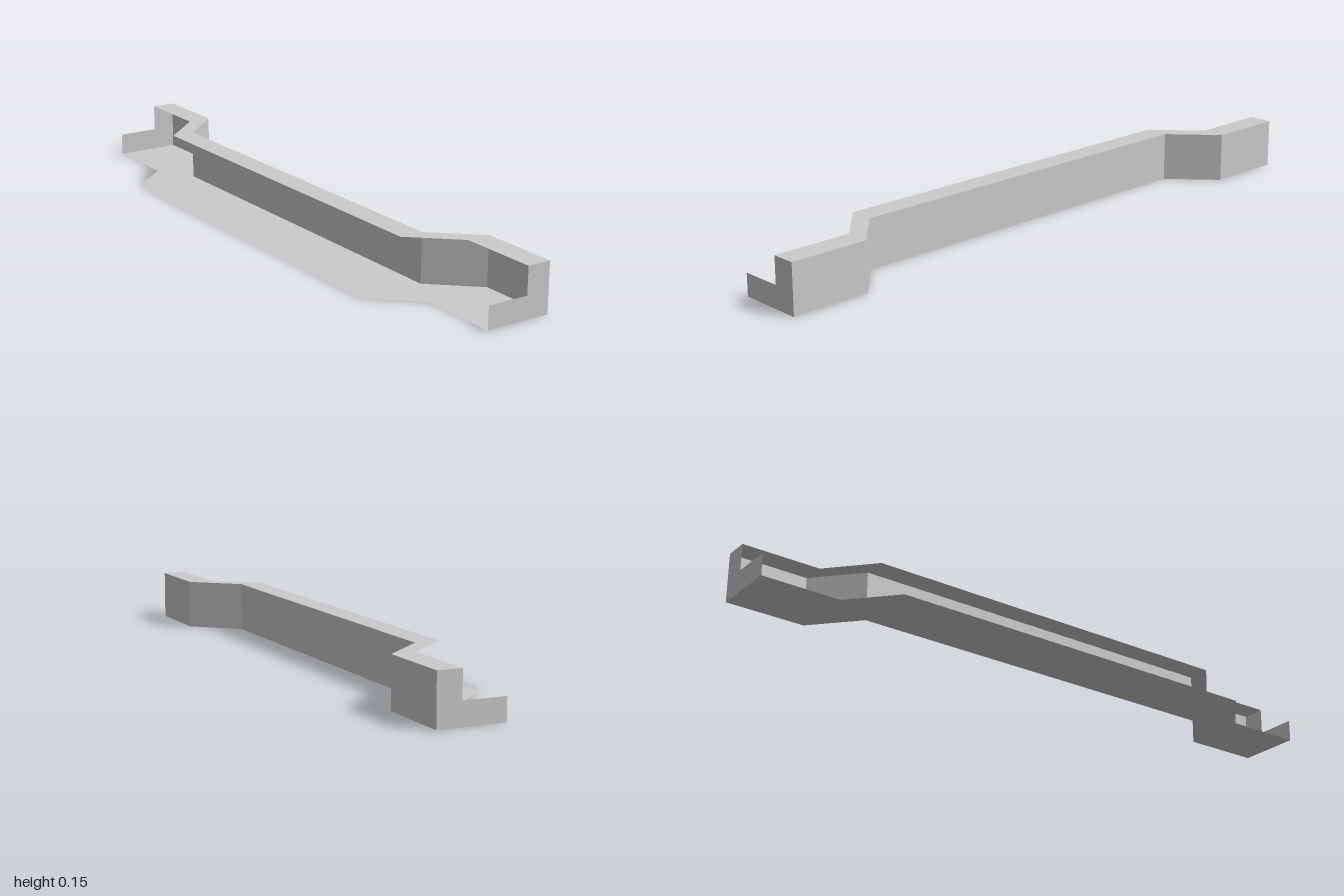
import * as THREE from 'three';

const material = new THREE.MeshStandardMaterial({
  color: 0xcccccc, flatShading: true, side: THREE.DoubleSide,
});

// Plan of the rail: [z, sideways shift], jogging over between its ends and middle
const path = [[-1, 0], [-0.75, 0], [-0.625, -0.138], [0.625, -0.138], [0.75, 0], [1, 0]];

// Open strip swept along the path between two profile points [x, y]
function strip(name, a, b) {
  const positions = [];
  const at = ([x, y], [z, shift]) => [x + shift, y, z];
  for (let i = 0; i < path.length - 1; i++) {
    const a0 = at(a, path[i]), a1 = at(a, path[i + 1]);
    const b0 = at(b, path[i]), b1 = at(b, path[i + 1]);
    positions.push(...a0, ...a1, ...b1, ...a0, ...b1, ...b0);
  }
  const geometry = new THREE.BufferGeometry();
  geometry.setAttribute('position', new THREE.Float32BufferAttribute(positions, 3));
  geometry.computeVertexNormals();
  const mesh = new THREE.Mesh(geometry, material);
  mesh.name = name;
  return mesh;
}

export function createModel() {
  const group = new THREE.Group();
  group.name = 'joggedRail';

  const innerTop = [0.097, 0.154], outerTop = [0.172, 0.154];
  const outerBottom = [0.172, 0], ledgeBottom = [-0.035, 0];

  // Open shell: the side towards -x has no faces
  group.add(
    strip('topEdge', innerTop, outerTop),
    strip('outerWall', outerTop, outerBottom),
    strip('floor', outerBottom, ledgeBottom),
  );

  // L-shaped plates closing both ends
  const corners = [ledgeBottom, outerBottom, outerTop, innerTop, [0.097, 0.07], [-0.035, 0.07]];
  const outline = new THREE.Shape(corners.map(([x, y]) => new THREE.Vector2(x, y)));
  for (const [name, z] of [['frontEndPlate', 1], ['backEndPlate', -1]]) {
    const geometry = new THREE.ShapeGeometry(outline);
    if (z < 0) geometry.index.array.reverse(); // face outward at the back
    geometry.computeVertexNormals();
    const plate = new THREE.Mesh(geometry, material);
    plate.name = name;
    plate.position.z = z;
    group.add(plate);
  }
  return group;
}
